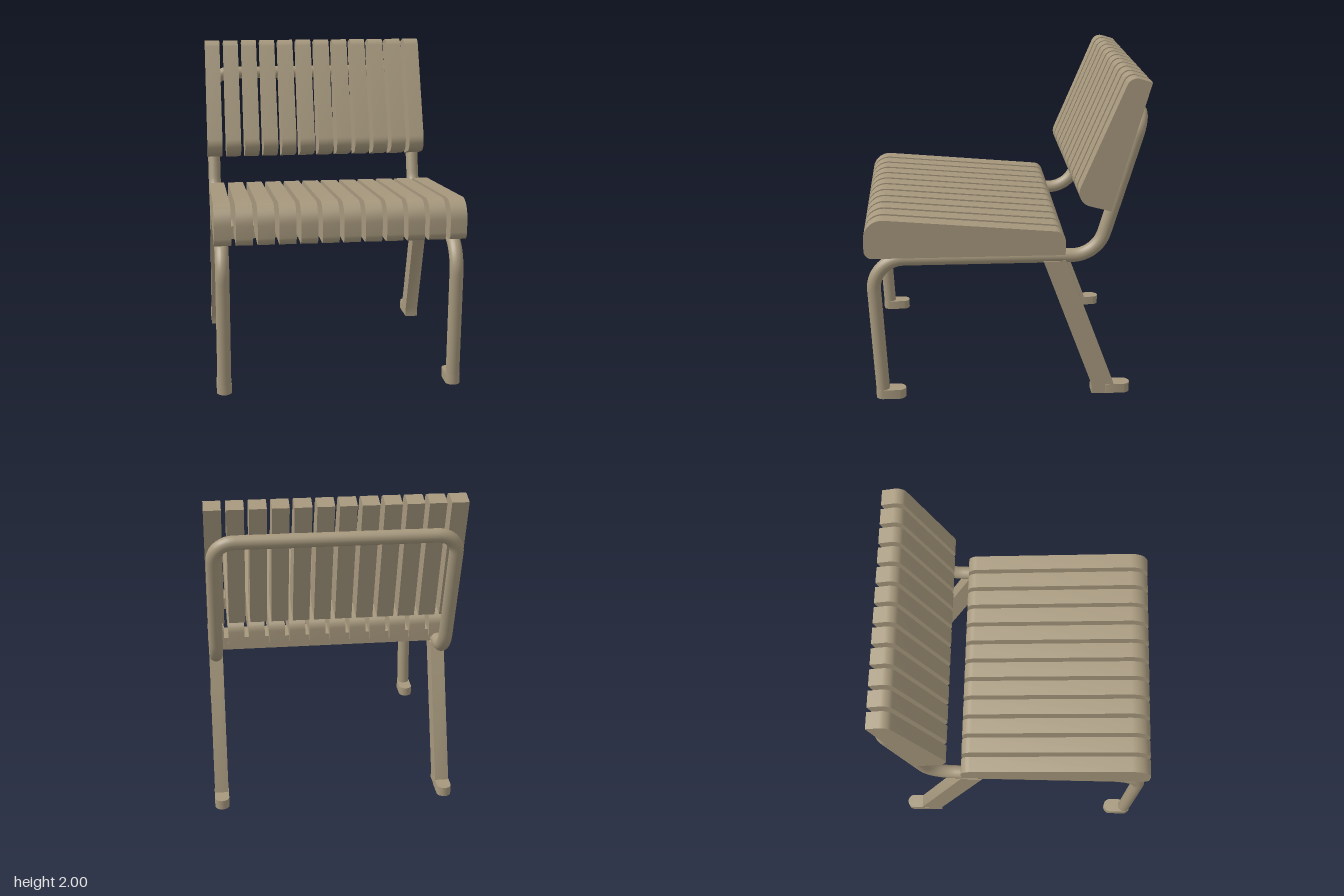
import * as THREE from 'three';
import { toCreasedNormals } from 'three/addons/utils/BufferGeometryUtils.js';

const tan = new THREE.MeshStandardMaterial({ color: 0xa6987d, side: THREE.DoubleSide });
tan.name = 'tan';

// Path through corners [x, y, z, t]; each corner is rounded over a tangent length t
function roundedPath(corners, closed) {
  const path = new THREE.CurvePath();
  const pts = corners.map(([x, y, z]) => new THREE.Vector3(x, y, z));
  const n = pts.length;
  let last = null;
  const lineTo = (p) => {
    if (last && last.distanceTo(p) > 1e-6) path.add(new THREE.LineCurve3(last, p));
    last = p;
  };
  let first = null;
  pts.forEach((p, i) => {
    const t = corners[i][3];
    if (!t) {
      lineTo(p);
      first ??= p;
      return;
    }
    const a = pts[(i + n - 1) % n].clone().sub(p).normalize();
    const b = pts[(i + 1) % n].clone().sub(p).normalize();
    const turn = Math.PI - a.angleTo(b);
    const k = (4 / 3) * Math.tan(turn / 4) / Math.tan(turn / 2);
    const start = p.clone().addScaledVector(a, t);
    const end = p.clone().addScaledVector(b, t);
    lineTo(start);
    first ??= start;
    path.add(new THREE.CubicBezierCurve3(
      start, start.clone().lerp(p, k), end.clone().lerp(p, k), end));
    last = end;
  });
  if (closed) lineTo(first);
  return path;
}

// Side profile [z, y, t] extruded across x and centred on x = 0
function profileGeometry(profile, width) {
  const path = roundedPath(profile.map(([z, y, t]) => [0, y, z, t]), true);
  const pts = path.getPoints(10).map((p) => new THREE.Vector2(p.z, p.y));
  if (pts[0].distanceTo(pts[pts.length - 1]) < 1e-6) pts.pop();
  const geo = new THREE.ExtrudeGeometry(new THREE.Shape(pts), { depth: width, bevelEnabled: false });
  geo.translate(0, 0, -width / 2).rotateY(-Math.PI / 2);
  return toCreasedNormals(geo, 0.5);
}

// Foot cap: stadium outline, closed on top and open below
function footGeometry(z0, z1, radius, height) {
  const sides = 26;
  const geo = new THREE.CylinderGeometry(radius, radius, height, sides);
  const index = Array.from(geo.index.array);
  geo.setIndex(index.slice(0, index.length - 3 * sides));
  geo.clearGroups();
  const stretch = (z1 - z0) / 2 - radius;
  const pos = geo.attributes.position;
  for (let i = 0; i < pos.count; i++) {
    const z = pos.getZ(i);
    if (Math.abs(z) > 1e-6) pos.setZ(i, z + Math.sign(z) * stretch);
  }
  return geo.translate(0, height / 2, (z0 + z1) / 2);
}

export function createModel() {
  const model = new THREE.Group();
  model.name = 'slattedChair';

  const add = (name, geo, x = 0, y = 0, z = 0) => {
    const mesh = new THREE.Mesh(geo, tan);
    mesh.name = name;
    mesh.position.set(x, y, z);
    model.add(mesh);
  };

  // Seat and back slats
  const seat = profileGeometry([
    [0.85, 0.93, 0.05], [-0.357, 0.93, 0], [-0.357, 1.076, 0.06], [0.85, 1.18, 0.125],
  ], 0.1);
  const back = profileGeometry([
    [-0.4, 1.26, 0.1], [-0.716, 2.014, 0.055], [-0.842, 1.975, 0], [-0.625, 1.2, 0],
  ], 0.1);
  const count = 12;
  for (let i = 0; i < count; i++) {
    const x = -0.7 + (1.4 * i) / (count - 1);
    add('seatSlat', seat, x);
    add('backSlat', back, x);
  }

  // One bent tube: front leg, seat rail, back upright, top bar and mirrored down again
  const half = [
    [0.705, 0, 0.76, 0],
    [0.705, 0.912, 0.808, 0.195],
    [0.705, 0.912, -0.55, 0.15],
    [0.705, 1.77, -0.802, 0.12],
  ];
  const mirrored = half.map(([x, ...rest]) => [-x, ...rest]).reverse();
  const framePath = roundedPath([...half, ...mirrored], false);
  add('tubeFrame', new THREE.TubeGeometry(framePath, 320, 0.042, 20));

  // Cross bars under the seat
  for (const z of [0.408, -0.248]) {
    add('crossBar', new THREE.BoxGeometry(1.36, 0.08, 0.163), 0, 0.93, z);
  }

  // Slanted rear legs and all four feet
  const rearLeg = profileGeometry([
    [-0.225, 0.89, 0], [-0.362, 0.89, 0], [-0.675, 0.06, 0],
    [-0.675, 0, 0], [-0.537, 0, 0], [-0.537, 0.06, 0],
  ], 0.085);
  const frontFoot = footGeometry(0.62, 0.805, 0.045, 0.06);
  const rearFoot = footGeometry(-0.778, -0.59, 0.045, 0.06);
  for (const side of [-1, 1]) {
    add('rearLeg', rearLeg, side * 0.705);
    add('frontFoot', frontFoot, side * 0.705);
    add('rearFoot', rearFoot, side * 0.705);
  }

  return model;
}
